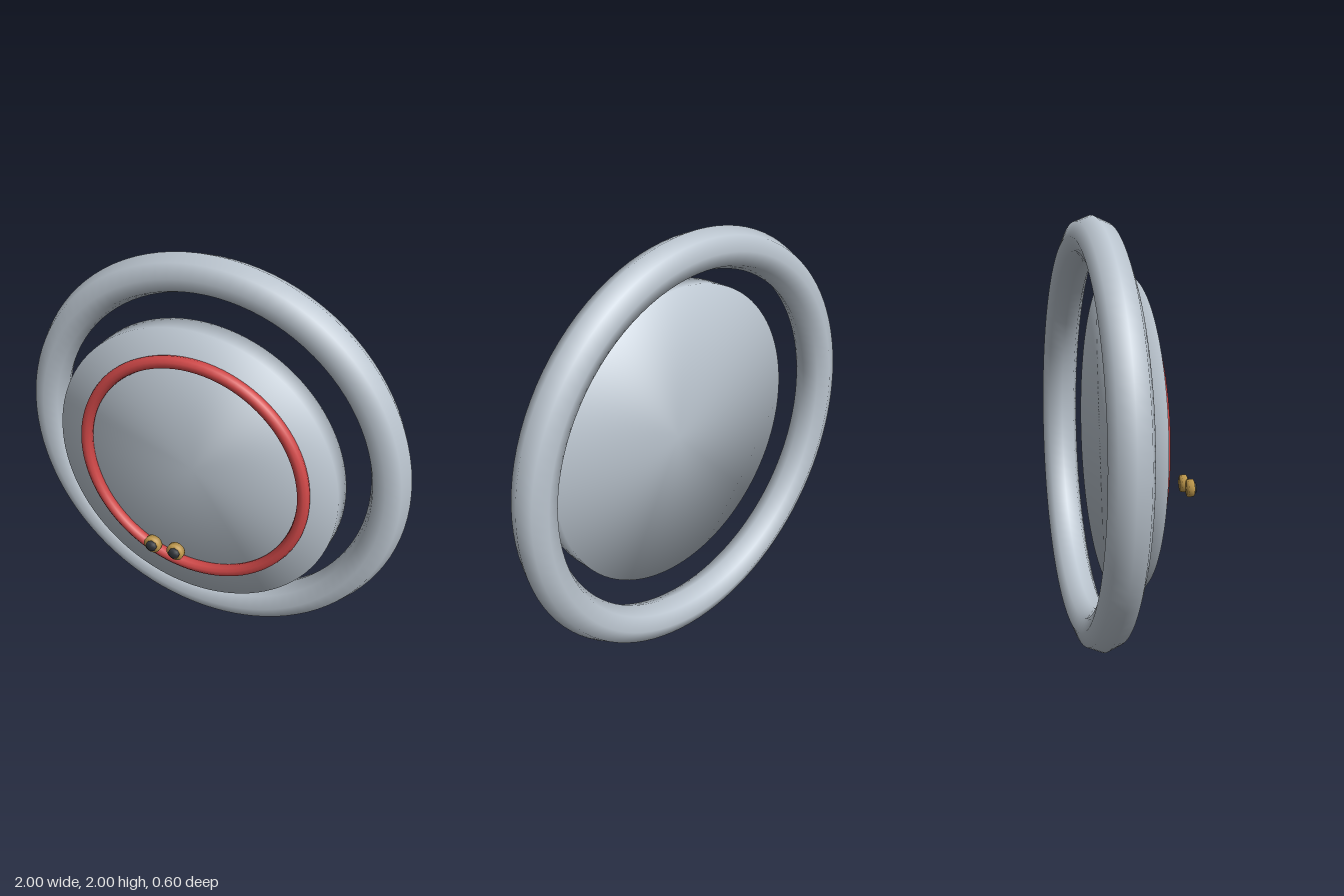
import * as THREE from 'three';

const material = (name, color) => {
  const m = new THREE.MeshStandardMaterial({ color });
  m.name = name;
  return m;
};

// Short cylinder facing +z, shaded softly from its caps round to its rim
function puck(radius, zBack, zFront, sides) {
  const g = new THREE.CylinderGeometry(radius, radius, zFront - zBack, sides);
  const p = g.attributes.position;
  const n = new THREE.Vector3();
  for (let i = 0; i < p.count; i++) {
    n.set(p.getX(i) / radius, Math.sign(p.getY(i)), p.getZ(i) / radius).normalize();
    g.attributes.normal.setXYZ(i, n.x, n.y, n.z);
  }
  return g.rotateX(Math.PI / 2).translate(0, 0, (zBack + zFront) / 2);
}

export function createModel() {
  const model = new THREE.Group();
  model.name = 'ringedDisc';
  const silver = material('silver', 0xbcc6d0);
  const red = material('red', 0xd04848);
  const gold = material('gold', 0xc8a050);
  const dark = material('darkGrey', 0x363a40);

  const add = (name, geometry, mat, x, y, z) => {
    const mesh = new THREE.Mesh(geometry, mat);
    mesh.name = name;
    mesh.position.set(x, y, z);
    model.add(mesh);
  };

  // Large outer ring at the back
  add('outerRing', new THREE.TorusGeometry(0.907, 0.093, 8, 96), silver, 0, 1.005, -0.208);

  // Main disc and its red trim
  add('disc', puck(0.727, -0.12, -0.015, 96), silver, 0, 1.005, 0);
  add('redTrim', new THREE.TorusGeometry(0.57, 0.03, 10, 96), red, 0, 1.005, 0.003);

  // Pair of studs floating in front
  for (const side of [-1, 1]) {
    const name = side > 0 ? 'left' : 'right';
    add(name + 'StudBase', puck(0.042, 0.256, 0.283, 24), gold, side * 0.06, 0.74, 0);
    add(name + 'StudCap', puck(0.027, 0.27, 0.296, 8), dark, side * 0.06, 0.74, 0);
  }
  return model;
}
